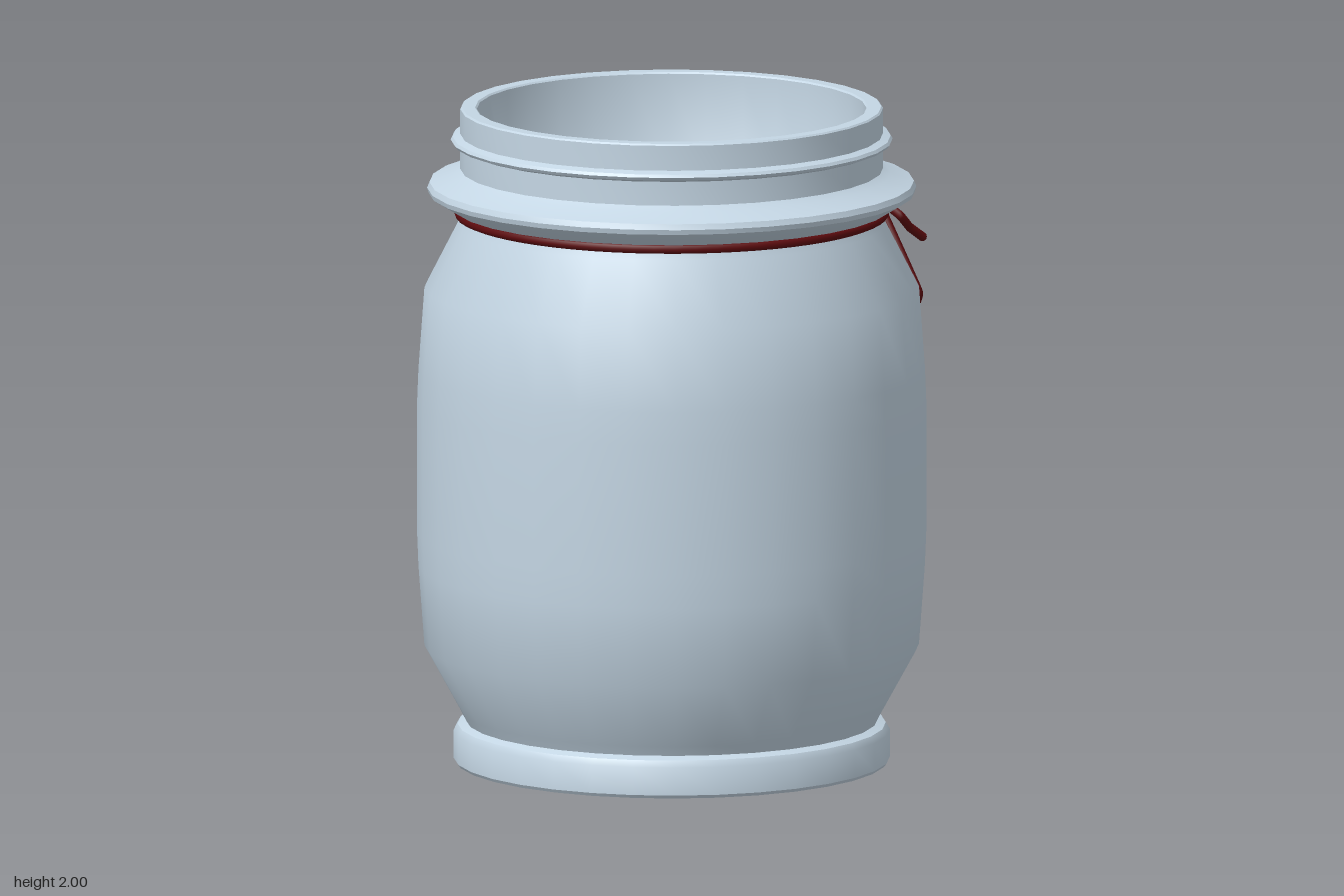
import * as THREE from 'three';
import { toCreasedNormals } from 'three/addons/utils/BufferGeometryUtils.js';

const SIDES = 32;
const AXIS_X = -0.025;
const glass = new THREE.MeshStandardMaterial({ color: 0xc4d6e4, side: THREE.DoubleSide });
const floorGrey = new THREE.MeshStandardMaterial({ color: 0xcccccc });
const red = new THREE.MeshStandardMaterial({ color: 0x5c0b0e });

function add(parent, name, geometry, material) {
  const mesh = new THREE.Mesh(geometry, material);
  mesh.name = name;
  parent.add(mesh);
  return mesh;
}

// Straight-segmented cord with rounded ends
function cord(parent, name, points) {
  const path = points.map((p) => new THREE.Vector3(...p));
  const curve = new THREE.CatmullRomCurve3(path, false, 'catmullrom', 0.12);
  const group = new THREE.Group();
  group.name = name;
  parent.add(group);
  add(group, name + 'Strand', new THREE.TubeGeometry(curve, points.length * 8, 0.014, 8), red);
  for (const end of [path[0], path[path.length - 1]]) {
    add(group, name + 'End', new THREE.SphereGeometry(0.014, 8, 6), red).position.copy(end);
  }
}

export function createModel() {
  const model = new THREE.Group();
  model.name = 'jarWithTwine';

  const jar = new THREE.Group();
  jar.name = 'jar';
  jar.position.x = AXIS_X;
  model.add(jar);

  // Outer skin from the base up, then over the rim and down the inner lip
  const profile = [
    [0, 0], [0.65, 0], [0.657, 0.01], [0.657, 0.095], [0.645, 0.115], [0.62, 0.125], // foot
    [0.635, 0.155], [0.745, 0.355], [0.763, 0.6], [0.767, 0.7], [0.767, 1.1], [0.763, 1.2],
    [0.745, 1.45], [0.645, 1.645], [0.63, 1.69], // body and shoulder
    [0.66, 1.695], [0.733, 1.74], [0.737, 1.755], [0.73, 1.772], [0.66, 1.797], [0.637, 1.812], // flange
    [0.637, 1.885], [0.66, 1.893], [0.666, 1.902], [0.66, 1.911], [0.637, 1.919], // thread bead
    [0.637, 1.995], [0.632, 2], [0.592, 2], [0.587, 1.995], // rim
    [0.585, 1.7], [0.525, 1.6], // inner lip
  ].map(([r, y]) => new THREE.Vector2(r, y));
  add(jar, 'jarWall', toCreasedNormals(new THREE.LatheGeometry(profile, SIDES), 0.6), glass);

  // Inner floor
  const floor = add(jar, 'innerFloor', new THREE.CircleGeometry(0.64, SIDES), floorGrey);
  floor.rotation.x = -Math.PI / 2;
  floor.position.y = 0.02;

  // Twine around the neck
  const twine = add(jar, 'neckTwine', new THREE.TorusGeometry(0.642, 0.014, 8, SIDES * 2), red);
  twine.rotation.x = Math.PI / 2;
  twine.position.y = 1.68;

  // Bow: knot, two loops and two loose tails
  const bow = new THREE.Group();
  bow.name = 'bow';
  model.add(bow);
  const knot = add(bow, 'knot', new THREE.TorusGeometry(0.026, 0.016, 8, 12), red);
  knot.position.set(0.61, 1.67, 0.205);
  knot.rotation.set(0.3, Math.PI / 2 - 0.35, 0);
  cord(bow, 'frontLoop', [
    [0.6, 1.68, 0.22], [0.6, 1.63, 0.28], [0.625, 1.4, 0.405], [0.645, 1.35, 0.37],
    [0.68, 1.395, 0.31], [0.66, 1.56, 0.25], [0.62, 1.68, 0.2],
  ]);
  cord(bow, 'backLoop', [
    [0.61, 1.67, 0.21], [0.66, 1.66, 0.17], [0.745, 1.41, 0.06], [0.735, 1.35, 0.1],
    [0.705, 1.4, 0.165], [0.66, 1.6, 0.18], [0.62, 1.7, 0.21],
  ]);
  cord(bow, 'backTail', [
    [0.61, 1.67, 0.2], [0.65, 1.68, 0.15], [0.68, 1.63, 0.06], [0.72, 1.59, -0.03], [0.775, 1.6, -0.06],
  ]);
  cord(bow, 'frontTail', [
    [0.6, 1.68, 0.2], [0.61, 1.67, 0.25], [0.64, 1.62, 0.315], [0.68, 1.58, 0.315], [0.73, 1.545, 0.32],
  ]);
  return model;
}
